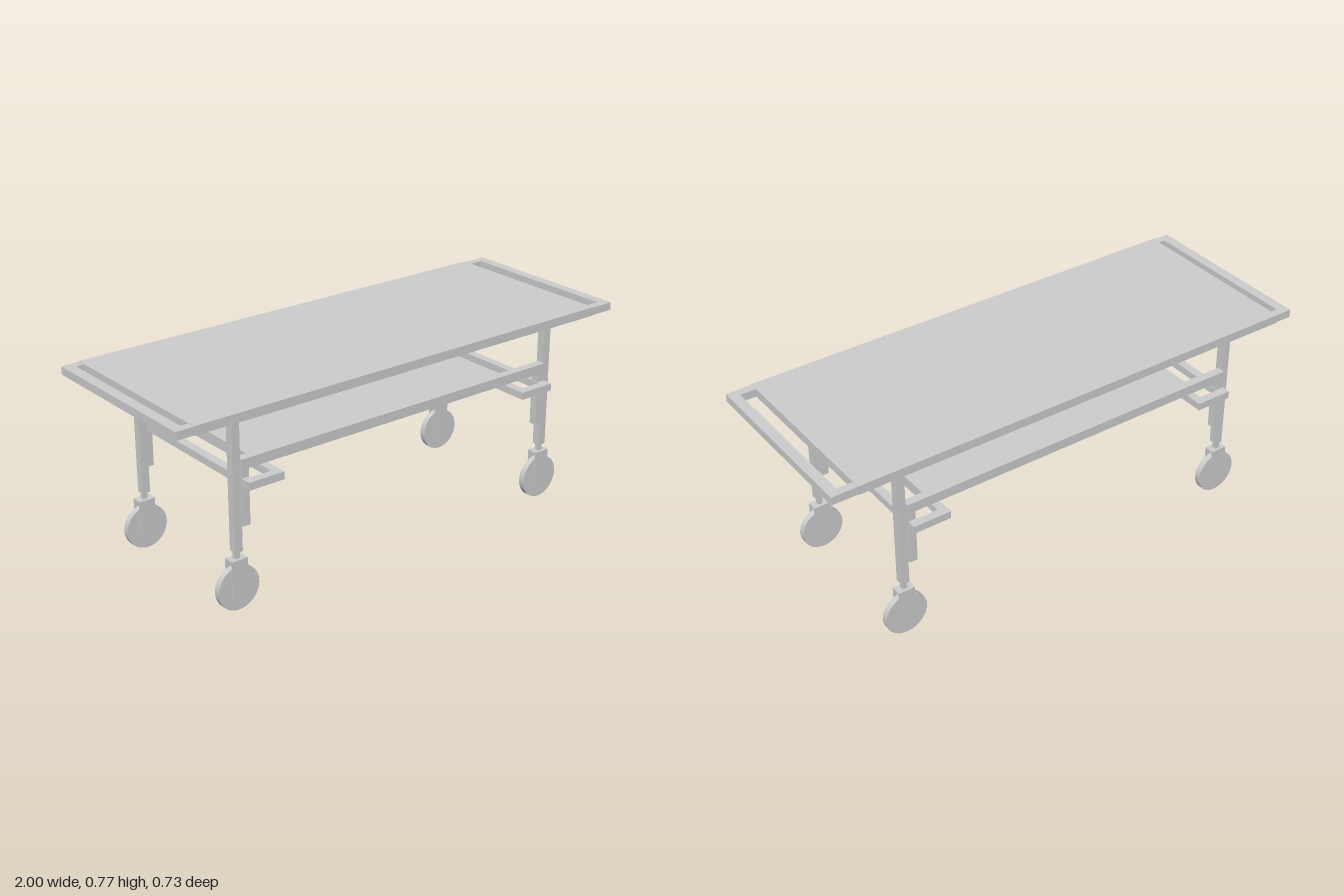
import * as THREE from 'three';

const material = new THREE.MeshStandardMaterial({ color: 0xcccccc });

// Box given by its minimum and maximum corners
function box(parent, name, [x0, y0, z0], [x1, y1, z1]) {
  const mesh = new THREE.Mesh(new THREE.BoxGeometry(x1 - x0, y1 - y0, z1 - z0), material);
  mesh.position.set((x0 + x1) / 2, (y0 + y1) / 2, (z0 + z1) / 2);
  mesh.name = name;
  parent.add(mesh);
  return mesh;
}

// Rectangular ring of square tubes lying flat
function ring(parent, name, x0, x1, z, y0, y1, t, endT = t) {
  const group = new THREE.Group();
  group.name = name;
  for (const s of [-1, 1]) {
    const a = s * (z - t), b = s * z;
    box(group, 'sideTube', [x0, y0, Math.min(a, b)], [x1, y1, Math.max(a, b)]);
  }
  box(group, 'endTube', [x0, y0, -z + t], [x0 + endT, y1, z - t]);
  box(group, 'endTube', [x1 - endT, y0, -z + t], [x1, y1, z - t]);
  parent.add(group);
}

// Swivel wheel in a fork, centred on the leg axis
function caster(x, z) {
  const group = new THREE.Group();
  group.name = 'caster';
  box(group, 'stem', [-0.009, 0.165, -0.009], [0.009, 0.228, 0.009]);
  box(group, 'forkTop', [-0.033, 0.19, -0.02], [0.033, 0.199, 0.02]);
  box(group, 'forkPlate', [-0.033, 0.055, 0.016], [0.033, 0.199, 0.021]);
  box(group, 'forkPlate', [-0.033, 0.055, -0.021], [0.033, 0.199, -0.016]);
  const wheel = new THREE.Mesh(new THREE.CylinderGeometry(0.085, 0.085, 0.024, 48), material);
  wheel.name = 'wheel';
  wheel.rotation.x = Math.PI / 2;
  wheel.position.y = 0.086;
  group.add(wheel);
  group.position.set(x, 0, z);
  return group;
}

export function createModel() {
  const model = new THREE.Group();
  model.name = 'wheeledStretcherTable';

  // Table top: open frame with handles at both ends, covered by a panel
  ring(model, 'topFrame', -1, 1, 0.364, 0.735, 0.766, 0.033, 0.04);
  box(model, 'topPanel', [-0.93, 0.734, -0.366], [0.9, 0.768, 0.366]);

  // Leg portals at each end
  for (const [x0, x1] of [[-0.751, -0.72], [0.695, 0.727]]) {
    const portal = new THREE.Group();
    portal.name = 'legPortal';
    box(portal, 'leg', [x0, 0.227, 0.28], [x1, 0.735, 0.313]);
    box(portal, 'leg', [x0, 0.227, -0.313], [x1, 0.735, -0.28]);
    box(portal, 'crossbar', [x0, 0.695, -0.28], [x1, 0.735, 0.28]);
    const x = (x0 + x1) / 2;
    portal.add(caster(x, 0.295), caster(x, -0.299));
    model.add(portal);
  }

  // Side rails with a drop bar beside each leg
  for (const [z0, z1] of [[0.287, 0.32], [-0.326, -0.293]]) {
    const rail = new THREE.Group();
    rail.name = 'sideRail';
    box(rail, 'rail', [-0.72, 0.535, z0], [0.695, 0.573, z1]);
    box(rail, 'dropBar', [-0.72, 0.323, z0], [-0.69, 0.535, z1]);
    box(rail, 'dropBar', [0.665, 0.323, z0], [0.695, 0.535, z1]);
    model.add(rail);
  }

  // Lower shelf on two tube supports
  ring(model, 'shelfSupport', -0.72, -0.573, 0.362, 0.474, 0.503, 0.033);
  ring(model, 'shelfSupport', 0.545, 0.695, 0.362, 0.474, 0.503, 0.033);
  box(model, 'lowerShelf', [-0.61, 0.503, -0.24], [0.58, 0.519, 0.24]);

  return model;
}
